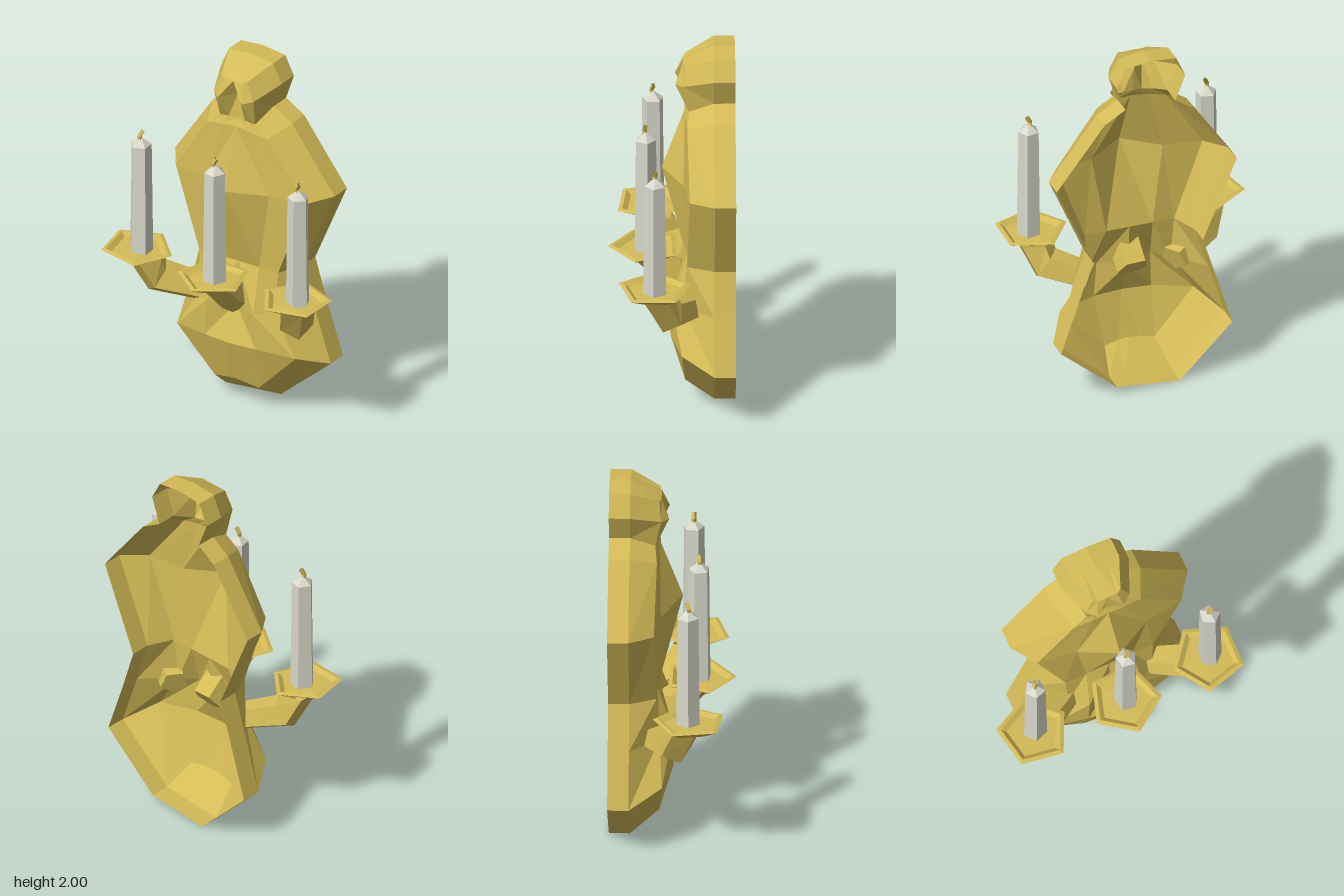
import * as THREE from 'three';

const gold = new THREE.MeshStandardMaterial({ color: 0xd4bb57, flatShading: true, side: THREE.DoubleSide });
gold.name = 'gold';
const wax = new THREE.MeshStandardMaterial({ color: 0xd8d8ca, flatShading: true });
wax.name = 'candle wax';

// Facetted surface through rows of points; diagonals flip after column "mirrorAt"
function loft(rows, mirrorAt = Infinity) {
  const n = rows[0].length, index = [];
  for (let r = 0; r < rows.length - 1; r++) {
    for (let c = 0; c < n - 1; c++) {
      const a = r * n + c, b = a + 1, d = a + n, e = d + 1;
      if (c < mirrorAt) index.push(a, b, e, a, e, d);
      else index.push(a, b, d, b, e, d);
    }
  }
  let geo = new THREE.BufferGeometry();
  geo.setAttribute('position', new THREE.Float32BufferAttribute(rows.flat(2), 3));
  geo.setIndex(index);
  geo = geo.toNonIndexed();
  geo.computeVertexNormals();
  return geo;
}

function add(parent, name, geo, mat) {
  const mesh = new THREE.Mesh(geo, mat);
  mesh.name = name;
  parent.add(mesh);
  return mesh;
}

// Hollow wall plate, open at the back
const BACK = -0.33, EDGE = -0.22;
function backPlate() {
  // centre x, outer x y, ring x y z, inner x y z, centre y z
  const half = [
    [0.015, 0.175, 0.02, 0.14, 0.13, -0.07, 0.06, 0.145, -0.06, 0.15, -0.06],
    [0.025, 0.48, 0.305, 0.375, 0.38, -0.05, 0.16, 0.4, 0.005, 0.4, 0.02],
    [0.02, 0.385, 0.6, 0.235, 0.6, -0.065, 0.15, 0.6, 0.005, 0.6, -0.06],
    [0.02, 0.31, 0.84, 0.25, 0.84, -0.08, 0.13, 0.84, -0.08, 0.84, -0.08],
    [0.025, 0.505, 1.305, 0.41, 1.29, -0.09, 0.2, 1.29, -0.06, 1.31, 0.05],
    [0.01, 0.25, 1.66, 0.19, 1.61, -0.08, 0.09, 1.63, -0.07, 1.64, -0.07],
    [0.005, 0.14, 1.73, 0.11, 1.67, -0.09, 0.05, 1.68, -0.085, 1.68, -0.09],
    [0.002, 0.193, 1.875, 0.125, 1.82, -0.06, 0.075, 1.81, -0.02, 1.82, -0.1],
    [0, 0.14, 1.985, 0.08, 1.92, -0.07, 0.055, 1.91, -0.06, 1.91, -0.06],
  ];
  // The whole outline leans slightly, most at the foot
  const tilt = (x, y) => y + x * (y < 0.1 ? 0.115 : y < 1.95 ? 0.03 : 0);
  const rows = half.map(([cx, ox, oy, rx, ry, rz, ix, iy, iz, cy, cz]) => {
    const side = s => [[ox, oy, BACK], [ox, oy, EDGE], [rx, ry, rz], [ix, iy, iz]]
      .map(([x, y, z]) => [cx + s * x, tilt(s * x, y), z]);
    return [...side(-1), [cx, cy, cz], ...side(1).reverse()];
  });
  // Bottom and top rims
  const cap = (row, midY, z) => row.map((p, c) => {
    const l = row[0], r = row[8], f = Math.min(1, Math.max(0, (c - 2) / 4));
    const x = l[0] + (r[0] - l[0]) * f;
    const y = l[1] + (r[1] - l[1]) * f + (midY - (l[1] + r[1]) / 2) * (1 - Math.abs(2 * f - 1));
    return [x, y, c === 0 || c === 8 ? BACK : z];
  });
  const low = rows[0], high = rows[rows.length - 1];
  return loft([cap(low, 0.02, BACK), cap(low, 0.02, EDGE), ...rows,
    cap(high, 2, EDGE), cap(high, 2, BACK)], 4);
}

// Five-sided arm swept through three points, ending level under the dish
function armGeometry(points, radii) {
  const p = points.map(a => new THREE.Vector3(...a));
  const along = p[2].clone().sub(p[0]).setY(0).normalize();
  const across = new THREE.Vector3(along.z, 0, -along.x);
  const tangents = [p[1].clone().sub(p[0]), p[2].clone().sub(p[0]), new THREE.Vector3(0, 1, 0)];
  const rows = p.map((c, i) => {
    const up = tangents[i].normalize().clone().cross(across).normalize();
    return Array.from({ length: 6 }, (_, k) => {
      const a = -Math.PI / 2 + (k % 5) * Math.PI * 0.4;
      return c.clone().addScaledVector(across, Math.cos(a) * radii[i])
        .addScaledVector(up, Math.sin(a) * radii[i]).toArray();
    });
  });
  rows.unshift(rows[0].map(() => points[0]));
  return loft(rows);
}

// Shallow drip dish
const dishProfile = [[0, -0.06], [0.1, -0.05], [0.195, 0], [0.17, 0.006], [0.14, -0.015], [0, -0.01]]
  .map(([x, y]) => new THREE.Vector2(x, y));

function branch(name, { arm, radii, dish, spin, lean, candle, top }) {
  const g = new THREE.Group();
  g.name = name;
  add(g, 'arm', armGeometry(arm, radii), gold);

  const plate = add(g, 'dripDish', new THREE.LatheGeometry(dishProfile, 5, spin), gold);
  plate.position.set(dish[0], 0.84, dish[1]);
  plate.rotation.z = lean;

  const h = top - 0.82;
  const stick = new THREE.Group();
  stick.name = 'candle';
  stick.position.set(candle[0], 0.82, candle[1]);
  stick.rotation.y = spin + 0.5;
  g.add(stick);
  add(stick, 'candleBody', new THREE.CylinderGeometry(0.056, 0.064, h, 5), wax).position.y = h / 2;
  add(stick, 'candleTip', new THREE.ConeGeometry(0.056, 0.045, 5, 1, true), wax).position.y = h + 0.0225;

  // Bent wick
  const wick = new THREE.CatmullRomCurve3([
    new THREE.Vector3(0, h + 0.015, 0),
    new THREE.Vector3(-0.008, h + 0.05, 0),
    new THREE.Vector3(0.008, h + 0.08, 0.004),
  ]);
  add(stick, 'wick', new THREE.TubeGeometry(wick, 2, 0.013, 4), gold);
  return g;
}

export function createModel() {
  const model = new THREE.Group();
  model.name = 'wallSconce';
  add(model, 'backPlate', backPlate(), gold);

  model.add(
    branch('rightBranch', {
      arm: [[-0.22, 0.6, -0.1], [-0.42, 0.66, 0.02], [-0.465, 0.785, 0.07]], radii: [0.075, 0.095, 0.1],
      dish: [-0.492, 0.1], spin: 0.5, lean: -0.05, candle: [-0.48, 0.09], top: 1.45,
    }),
    branch('middleBranch', {
      arm: [[0.01, 0.605, -0.11], [0.01, 0.69, 0.0], [0.01, 0.79, 0.115]], radii: [0.085, 0.09, 0.1],
      dish: [0.01, 0.135], spin: 0, lean: 0, candle: [0.02, 0.135], top: 1.465,
    }),
    branch('leftBranch', {
      arm: [[0.25, 0.6, -0.1], [0.45, 0.66, 0.02], [0.495, 0.785, 0.08]], radii: [0.075, 0.095, 0.1],
      dish: [0.5, 0.095], spin: -0.35, lean: -0.01, candle: [0.515, 0.09], top: 1.45,
    }),
  );
  return model;
}
